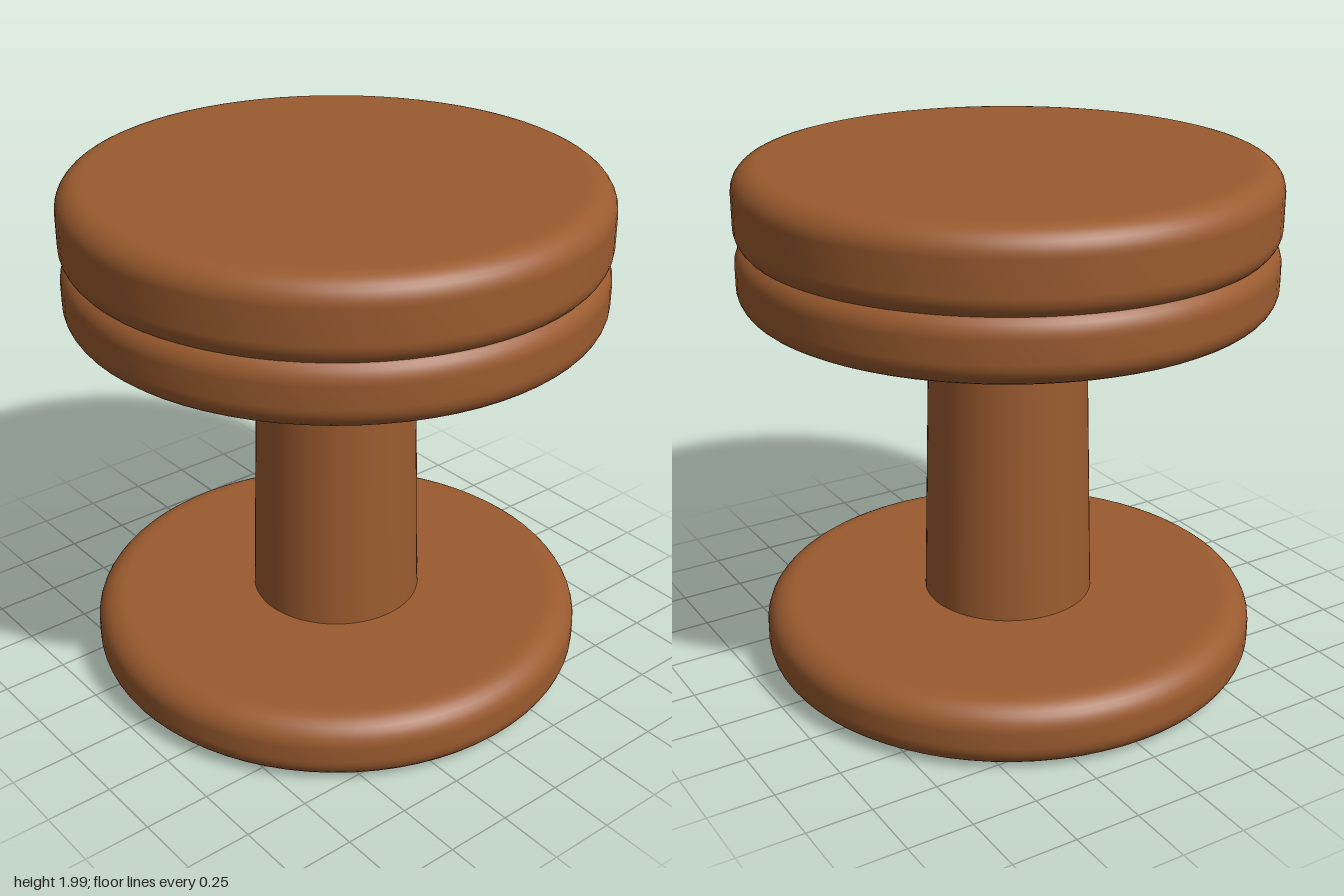
import * as THREE from 'three';

const SEGMENTS = 72;

// Flat disc with a softly rounded rim, turned from a half profile
function roundedDisc(name, radius, bottom, top, rx, ry, material) {
  const points = [new THREE.Vector2(0, bottom), new THREE.Vector2(radius - rx - 0.03, bottom)];
  const steps = 8;
  for (const [cy, start] of [[bottom + ry, -Math.PI / 2], [top - ry, 0]]) {
    for (let i = 0; i <= steps; i++) {
      const a = start + (i / steps) * Math.PI / 2;
      points.push(new THREE.Vector2(radius - rx + Math.cos(a) * rx, cy + Math.sin(a) * ry));
    }
  }
  points.push(new THREE.Vector2(radius - rx - 0.03, top), new THREE.Vector2(0, top));
  const mesh = new THREE.Mesh(new THREE.LatheGeometry(points, SEGMENTS), material);
  mesh.name = name;
  return mesh;
}

export function createModel() {
  const model = new THREE.Group();
  model.name = 'stool';

  const brown = new THREE.MeshStandardMaterial({ color: 0x9b5b2f });
  brown.name = 'warm brown';

  // Floor disc
  model.add(roundedDisc('base', 0.957, 0.01, 0.27, 0.11, 0.1, brown));

  // Tapered central column, let slightly into both discs
  const column = new THREE.Mesh(new THREE.CylinderGeometry(0.295, 0.33, 1.26, SEGMENTS, 1, true), brown);
  column.name = 'column';
  column.position.y = 0.87;
  model.add(column);

  // Two stacked seat discs pressed together, leaving a shallow groove
  model.add(roundedDisc('seatLower', 0.998, 1.465, 1.725, 0.09, 0.09, brown));
  model.add(roundedDisc('seatUpper', 0.998, 1.68, 1.995, 0.1, 0.095, brown));

  return model;
}
